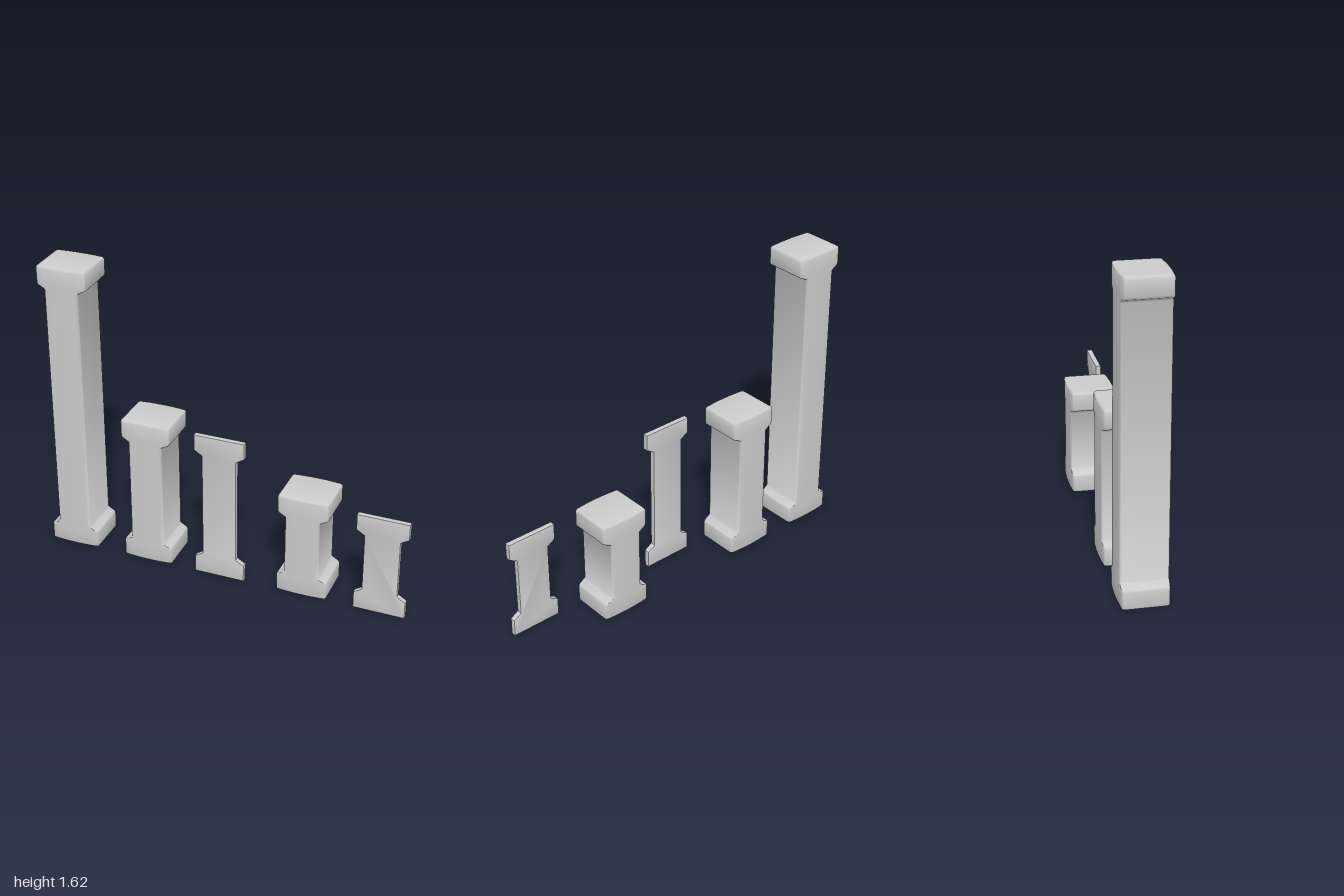
import * as THREE from 'three';
import { toCreasedNormals } from 'three/addons/utils/BufferGeometryUtils.js';

const HALF = 0.137, SHAFT = 0.093, DEPTH = 0.123, R = 0.012;
const material = new THREE.MeshStandardMaterial({ color: 0xcccccc });

// Horizontal section: front and back bow outwards, corners are rounded
function section(w, inset) {
  const bow = (x) => DEPTH - inset - 0.45 * x * x;
  const c = w - R, front = [];
  for (let i = 0; i <= 4; i++) {
    const a = Math.PI - (i / 4) * Math.PI / 2;
    front.push([-c + R * Math.cos(a), bow(c) - R + R * Math.sin(a)]);
  }
  for (let i = 1; i < 8; i++) {
    const x = -c + (2 * c * i) / 8;
    front.push([x, bow(x)]);
  }
  for (let i = 4; i >= 0; i--) front.push([-front[i][0], front[i][1]]);
  return [...front, ...front.map(([x, z]) => [x, -z]).reverse()];
}

// Solid pillar: sections lofted up the height, the cap mirrors the base
function pillarGeometry(height) {
  const base = [ // y, half width, depth inset
    [0, HALF - 0.012, 0.012], [0.002, HALF - 0.006, 0.006],
    [0.006, HALF - 0.002, 0.002], [0.012, HALF, 0],
    [0.094, HALF, 0], [0.101, HALF - 0.003, 0], [0.105, HALF - 0.008, 0],
    [0.121, SHAFT + 0.004, 0], [0.127, SHAFT, 0],
  ];
  const levels = [...base, ...base.map(([y, w, d]) => [height - y, w, d]).reverse()];
  const pos = [], index = [];
  let n = 0;
  for (const [y, w, d] of levels) {
    const ring = section(w, d);
    n = ring.length;
    for (const [x, z] of ring) pos.push(x, y, z);
  }
  for (let j = 0; j < levels.length - 1; j++) {
    for (let i = 0; i < n; i++) {
      const a = j * n + i, b = j * n + (i + 1) % n;
      index.push(a, b, b + n, a, b + n, a + n);
    }
  }
  // Top and bottom faces, filled in strips from front to back
  const top = (levels.length - 1) * n;
  for (let i = 0; i < n / 2 - 1; i++) {
    const f0 = i, f1 = i + 1, b0 = n - 1 - i, b1 = n - 2 - i;
    index.push(top + f0, top + f1, top + b1, top + f0, top + b1, top + b0);
    index.push(f0, b1, f1, f0, b0, b1);
  }
  const g = new THREE.BufferGeometry();
  g.setAttribute('position', new THREE.Float32BufferAttribute(pos, 3));
  g.setIndex(index);
  return toCreasedNormals(g, 0.65);
}

// Thin plate with the same outline and finely bevelled rims
function plateGeometry(bottom, top) {
  const b = 0.003, w = HALF - b, s = SHAFT - b;
  const lo = bottom + b, hi = top - b;
  const right = [
    [w, lo], [w, 0.1 - b], [s, 0.127 - b],
    [s, top - 0.117 + b], [w, top - 0.09 + b], [w, hi],
  ];
  const outline = [...right, ...right.map(([x, y]) => [-x, y]).reverse()];
  const shape = new THREE.Shape(outline.map(([x, y]) => new THREE.Vector2(x, y)));
  const g = new THREE.ExtrudeGeometry(shape, {
    depth: 0.03 - 2 * b, bevelThickness: b, bevelSize: b, bevelSegments: 2,
  });
  g.translate(0, 0, 0.09 + b);
  return toCreasedNormals(g, 0.5);
}

export function createModel() {
  const group = new THREE.Group();
  const add = (name, geometry, x) => {
    const mesh = new THREE.Mesh(geometry, material);
    mesh.name = name;
    mesh.position.x = x;
    group.add(mesh);
  };
  add('tallPillar', pillarGeometry(1.622), -0.863);
  add('mediumPillar', pillarGeometry(0.833), -0.427);
  add('mediumPlate', plateGeometry(0.004, 0.833), -0.013);
  add('shortPillar', pillarGeometry(0.58), 0.441);
  add('shortPlate', plateGeometry(0.004, 0.566), 0.863);
  return group;
}
